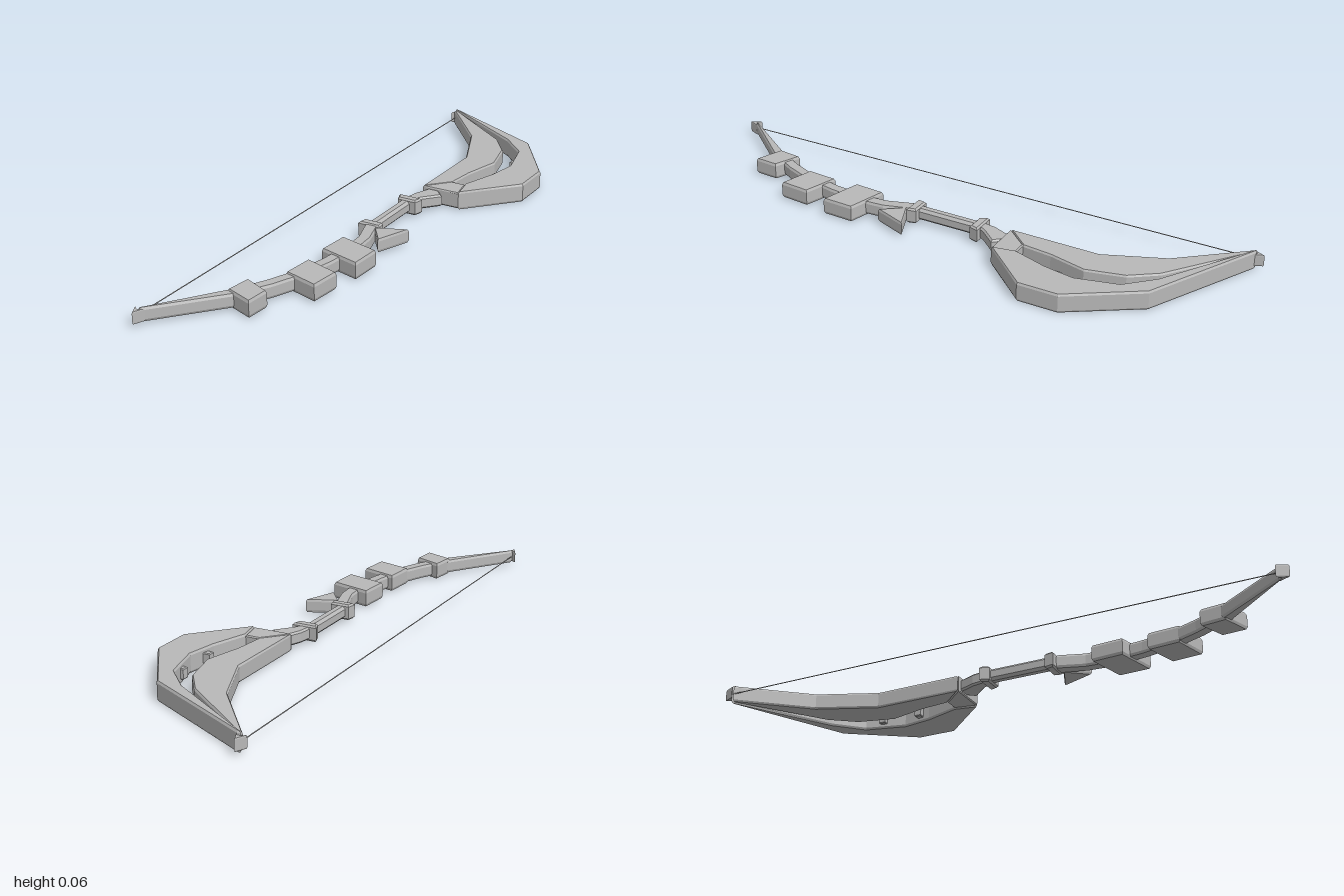
import * as THREE from 'three';

const MID = 0.034; // height of the centre plane of the bow lying flat

export function createModel() {
  const bow = new THREE.Group();
  bow.name = 'bow';
  const grey = new THREE.MeshStandardMaterial({ color: 0xb8b8b8 });
  grey.name = 'grey';

  // Chamfered slab from an outline of [x, z] points
  function slab(name, outline, height, inset = 0.006, rise = inset) {
    const shape = new THREE.Shape(outline.map(([x, z]) => new THREE.Vector2(x, z)));
    const geo = new THREE.ExtrudeGeometry(shape, {
      depth: height - 2 * rise, bevelEnabled: true, bevelSegments: 1,
      bevelSize: inset, bevelOffset: -inset, bevelThickness: rise,
    });
    geo.translate(0, 0, -(height - 2 * rise) / 2);
    geo.rotateX(Math.PI / 2);
    const mesh = new THREE.Mesh(geo, grey);
    mesh.name = name;
    mesh.position.y = MID;
    bow.add(mesh);
  }

  // Upper limb: two curved blades around an open slot
  slab('outerBlade', [
    [-0.277, -0.972], [-0.264, -0.974], [0.13, -0.78], [0.285, -0.55], [0.285, -0.41],
    [0.127, -0.236], [0.11, -0.317], [0.15, -0.44], [0.168, -0.545], [0.132, -0.685], [0.045, -0.772],
  ], 0.065, 0.004, 0.007);
  slab('innerBlade', [
    [-0.266, -0.97], [-0.278, -0.965], [-0.095, -0.75], [-0.01, -0.55], [-0.01, -0.238],
    [0.063, -0.317], [0.074, -0.42], [0.106, -0.55], [0.074, -0.68], [0.008, -0.768],
  ], 0.056, 0.004, 0.006);
  slab('bladeBridge', [[-0.01, -0.235], [0.06, -0.317], [0.112, -0.317], [0.127, -0.236]], 0.057, 0.004);
  [[-0.635, -0.61], [-0.49, -0.465]].forEach(([a, b]) =>
    slab('slotPeg', [[0.135, a], [0.165, a], [0.165, b], [0.135, b]], 0.036, 0.003));

  // Grip with neck and collars
  slab('neck', [[-0.022, -0.13], [0.016, -0.13], [0.03, -0.155], [0.078, -0.21], [0.05, -0.24],
    [0.01, -0.24], [-0.014, -0.18]], 0.042);
  slab('grip', [[-0.025, -0.12], [0.011, -0.12], [0.011, 0.12], [-0.025, 0.12]], 0.042, 0.009);
  slab('upperCollar', [[-0.046, -0.138], [0.042, -0.138], [0.033, -0.105], [-0.034, -0.105]], 0.054);
  slab('lowerCollar', [[-0.038, 0.1], [0.03, 0.1], [0.036, 0.133], [-0.044, 0.133]], 0.054);

  // Lower limb: [x, z, half width] along the centre line
  const path = [[0.002, 0.125, 0.022], [0.032, 0.22, 0.021], [0.038, 0.3, 0.021], [0.022, 0.43, 0.02],
    [-0.002, 0.54, 0.02], [-0.042, 0.64, 0.02], [-0.095, 0.74, 0.019], [-0.271, 0.97, 0.005]];
  const sides = [[], []];
  path.forEach(([x, z, w], i) => {
    const a = path[Math.max(i - 1, 0)], b = path[Math.min(i + 1, path.length - 1)];
    const dx = b[0] - a[0], dz = b[1] - a[1], len = Math.hypot(dx, dz);
    sides[0].push([x + dz / len * w, z - dx / len * w]);
    sides[1].unshift([x - dz / len * w, z + dx / len * w]);
  });
  slab('lowerLimb', [...sides[0], ...sides[1]], 0.046, 0.004, 0.008);

  // Spike and blocks on the lower limb
  slab('spike', [[0.02, 0.14], [0.125, 0.097], [0.08, 0.217]], 0.046, 0.004, 0.008);
  [
    [[-0.022, 0.26], [0.122, 0.297], [0.117, 0.41], [-0.03, 0.372]],
    [[-0.024, 0.456], [0.1, 0.492], [0.09, 0.6], [-0.033, 0.567]],
    [[-0.105, 0.662], [-0.01, 0.7], [-0.016, 0.785], [-0.116, 0.75]],
  ].forEach((outline) => slab('limbBlock', outline, 0.057, 0.004, 0.009));

  // Nocks at both tips and the string between them
  for (const s of [-1, 1]) {
    slab('nock', [[-0.29, 0.962 * s], [-0.274, 0.973 * s], [-0.256, 0.962 * s], [-0.272, s]], 0.04, 0.002, 0.004);
  }
  const string = new THREE.Mesh(new THREE.CylinderGeometry(0.0018, 0.0018, 1.94, 6), grey);
  string.name = 'bowString';
  string.rotation.x = Math.PI / 2;
  string.position.set(-0.274, MID, 0);
  bow.add(string);

  return bow;
}
